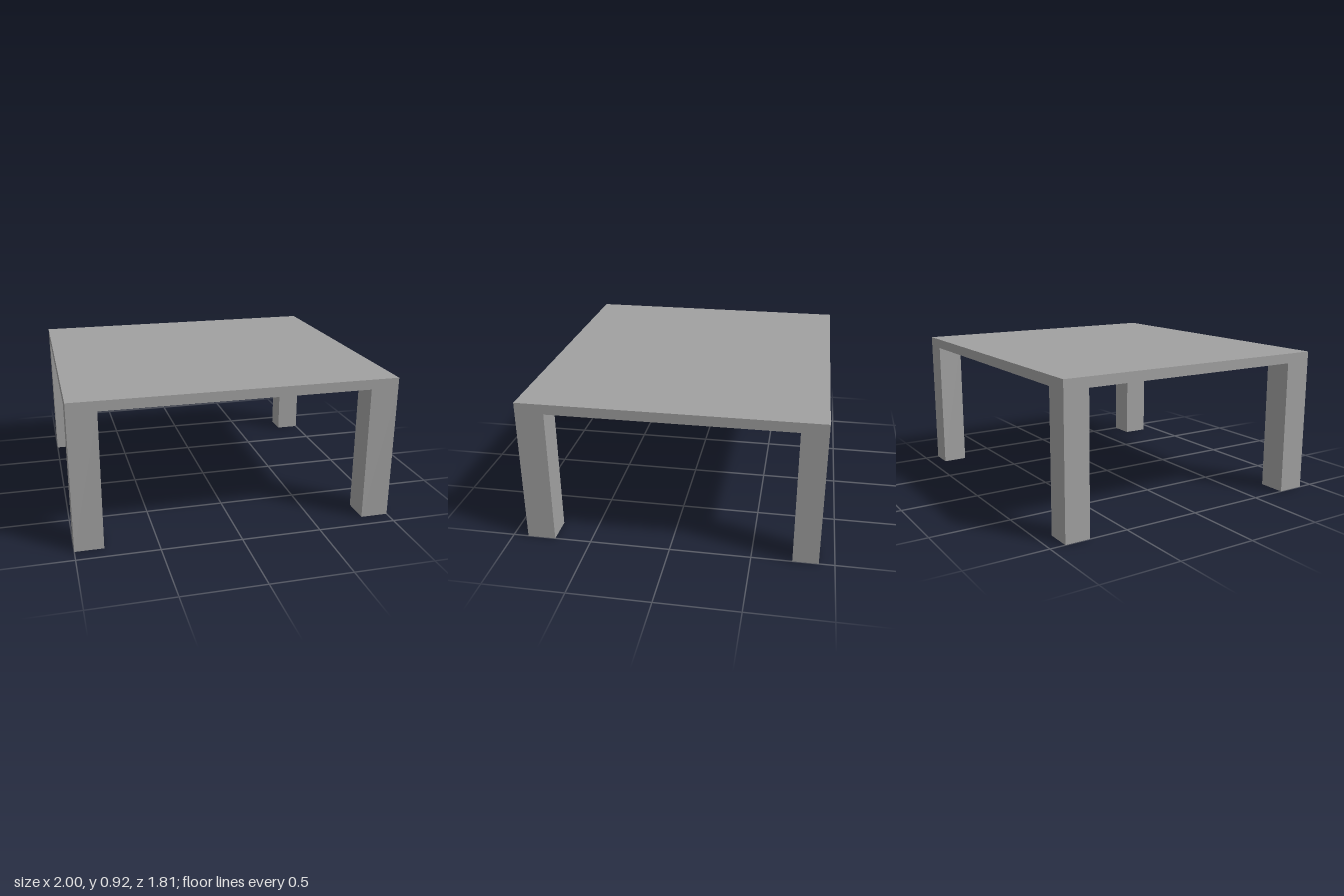
import * as THREE from 'three';

export function createModel() {
  const group = new THREE.Group();
  group.name = 'table';
  const gray = new THREE.MeshStandardMaterial({ color: 0xa0a0a0 });
  gray.name = 'gray';

  const halfX = 1, halfZ = 0.905, height = 0.92, underside = 0.858;

  const addBox = (name, w, h, d, x, y, z) => {
    const mesh = new THREE.Mesh(new THREE.BoxGeometry(w, h, d), gray);
    mesh.name = name;
    mesh.position.set(x, y, z);
    group.add(mesh);
  };

  // Thin flat top
  const thickness = height - underside;
  addBox('tableTop', halfX * 2, thickness, halfZ * 2, 0, underside + thickness / 2, 0);

  // Square legs flush with the corners; the front pair is slightly thicker
  for (const [end, zSide, size] of [['front', 1, 0.176], ['back', -1, 0.157]]) {
    for (const [side, xSide] of [['Left', 1], ['Right', -1]]) {
      addBox(`${end}${side}Leg`, size, underside, size,
        xSide * (halfX - size / 2), underside / 2, zSide * (halfZ - size / 2));
    }
  }
  return group;
}
